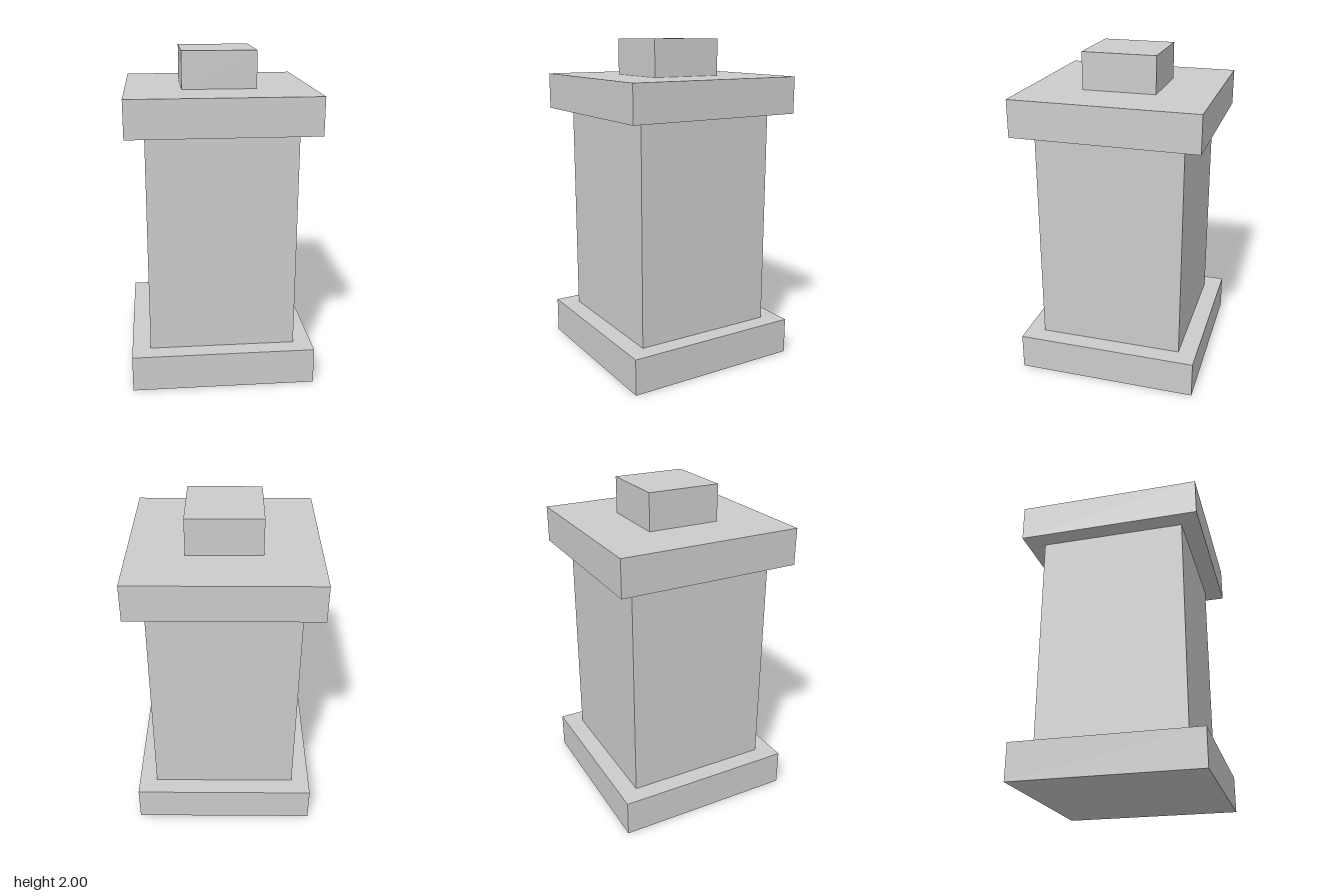
import * as THREE from 'three';

export function createModel() {
  const model = new THREE.Group();
  model.name = 'pedestal';
  const material = new THREE.MeshStandardMaterial({ color: 0xcccccc, flatShading: true });
  const unit = 2 / 9; // the pillar is nine units tall

  // Square blocks stacked from the ground up: name, width and height in units
  const blocks = [
    ['base', 5, 1],
    ['shaft', 4, 6],
    ['cap', 5, 1],
    ['topBlock', 2, 1],
  ];

  let y = 0;
  for (const [name, width, height] of blocks) {
    const w = width * unit;
    const h = height * unit;
    const block = new THREE.Mesh(new THREE.BoxGeometry(w, h, w), material);
    block.name = name;
    block.position.y = y + h / 2;
    model.add(block);
    y += h;
  }
  return model;
}
